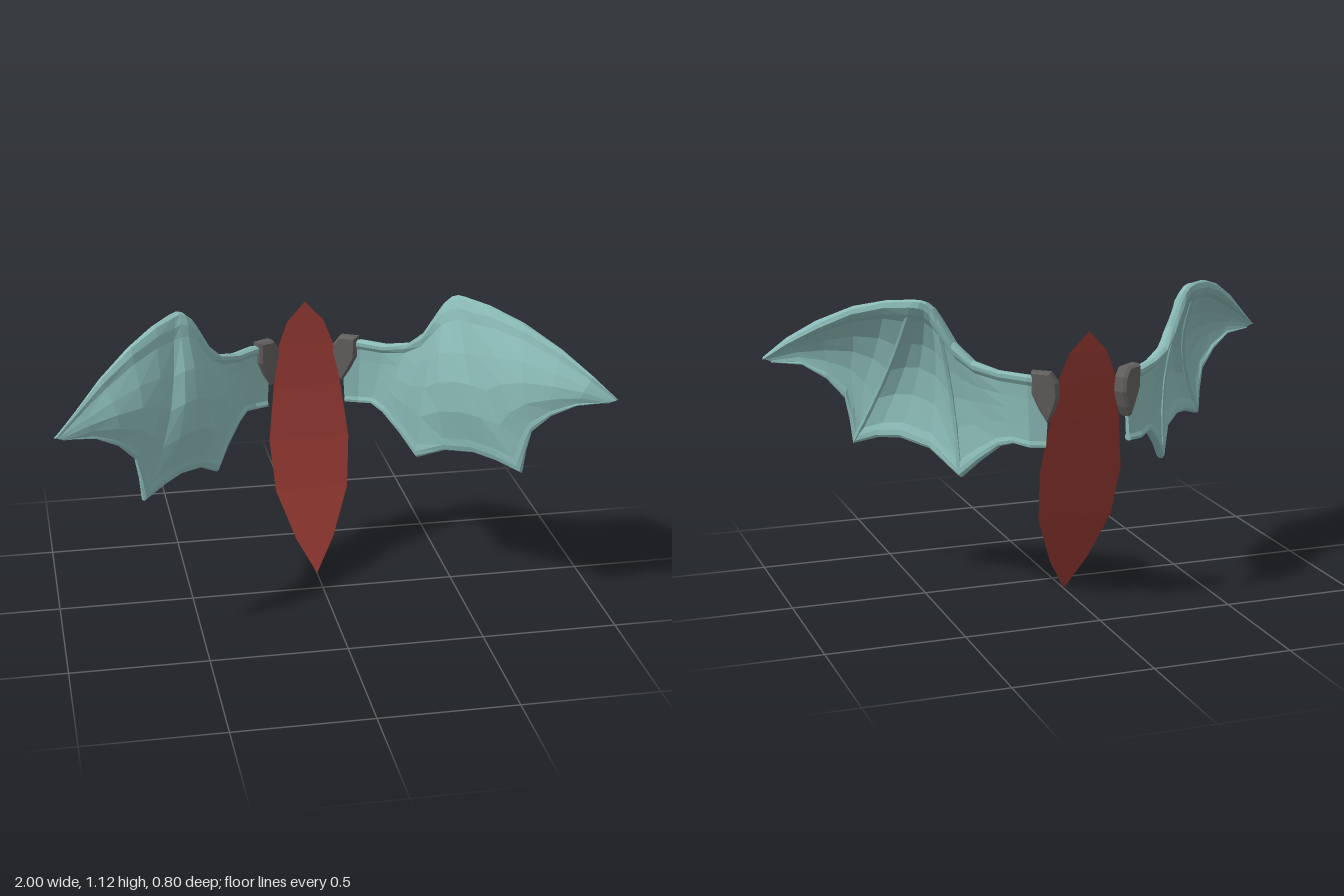
import * as THREE from 'three';

// Wing stations from root to tip: [leading edge xyz, trailing edge xyz, forward bulge]
const STATIONS = [
  [[0.14, 0.865, -0.365], [0.155, 0.615, -0.365], 0],
  [[0.21, 0.875, -0.33], [0.205, 0.615, -0.345], 0],
  [[0.29, 0.88, -0.25], [0.25, 0.625, -0.30], 0],
  [[0.365, 0.905, -0.18], [0.285, 0.605, -0.25], 0.01],
  [[0.42, 0.965, -0.13], [0.34, 0.54, -0.185], 0.03],
  [[0.465, 1.055, -0.105], [0.39, 0.465, -0.115], 0.04],
  [[0.485, 1.085, -0.10], [0.465, 0.545, 0.02], 0.075],
  [[0.505, 1.105, -0.093], [0.55, 0.57, 0.12], 0.085],
  [[0.525, 1.112, -0.085], [0.62, 0.56, 0.19], 0.085],
  [[0.545, 1.112, -0.065], [0.695, 0.53, 0.25], 0.07],
  [[0.62, 1.10, 0.02], [0.705, 0.62, 0.26], 0.07],
  [[0.72, 1.062, 0.13], [0.72, 0.70, 0.27], 0.06],
  [[0.83, 0.992, 0.24], [0.78, 0.77, 0.30], 0.045],
  [[0.92, 0.918, 0.335], [0.86, 0.82, 0.34], 0.02],
  [[0.998, 0.846, 0.39], [0.965, 0.834, 0.383], 0],
];
const LAST = STATIONS.length - 1;
const FINGERS = [5, 9];

// Half thickness down the chord: thick rolled rim, thin membrane
const CHORD = [[0, 0.006], [0.025, 0.02], [0.08, 0.02], [0.14, 0.01], [0.32, 0.008],
  [0.5, 0.008], [0.7, 0.008], [0.9, 0.009], [0.95, 0.015], [0.985, 0.014], [1, 0.006]];

// Point on the middle surface of the wing at station i, chord position v
function surface(i, v) {
  const [t, b, bulge] = STATIONS[i];
  const k = bulge * Math.sin(Math.PI * v);
  return new THREE.Vector3(...t).lerp(new THREE.Vector3(...b), v)
    .add(new THREE.Vector3(-0.55 * k, 0, 0.83 * k));
}

// Normal of the middle surface, pointing to the front
function normal(i, v) {
  const du = surface(Math.min(i + 1, LAST), v).sub(surface(Math.max(i - 1, 0), v));
  const dv = surface(i, Math.min(v + 0.05, 1)).sub(surface(i, Math.max(v - 0.05, 0)));
  return dv.cross(du).normalize();
}

// Closed skin lofted through a loop of points at every station
function wingGeometry() {
  const pos = [], index = [];
  const n = CHORD.length * 2;
  for (let i = 0; i <= LAST; i++) {
    const taper = i === LAST ? 0.5 : i === LAST - 1 ? 0.8 : 1;
    const at = ([v, h], side) =>
      pos.push(...surface(i, v).addScaledVector(normal(i, v), h * side * taper).toArray());
    CHORD.forEach((c) => at(c, 1));
    [...CHORD].reverse().forEach((c) => at(c, -1));
  }
  for (let i = 0; i < LAST; i++) {
    for (let j = 0; j < n; j++) {
      const k = (j + 1) % n;
      const a = i * n + j, d = i * n + k, b = a + n, c = d + n;
      index.push(a, d, c, a, c, b);
    }
  }
  // Root and tip caps
  const end = LAST * n;
  for (let j = 0; j < n / 2 - 1; j++) {
    const p = n - 1 - j;
    index.push(j, p, j + 1, j + 1, p, p - 1);
    index.push(end + j, end + j + 1, end + p, end + j + 1, end + p - 1, end + p);
  }
  const geo = new THREE.BufferGeometry();
  geo.setAttribute('position', new THREE.Float32BufferAttribute(pos, 3));
  geo.setIndex(index);
  return geo;
}

// Raised finger bone along the back of the membrane
function fingerGeometry(i) {
  const pts = [0.04, 0.2, 0.4, 0.6, 0.8, 0.97].map((v) =>
    surface(i, v).addScaledVector(normal(i, v), -0.007));
  return new THREE.TubeGeometry(new THREE.CatmullRomCurve3(pts), 8, 0.011, 6);
}

// Rounded plate that clasps the wing root
function claspGeometry() {
  const outline = [[0.004, 0.80], [0.008, 0.85], [0.03, 0.88], [0.088, 0.882], [0.086, 0.81],
    [0.062, 0.76], [0.036, 0.715], [0.022, 0.745]];
  const shape = new THREE.Shape(outline.map(([x, y]) => new THREE.Vector2(x, y)));
  const geo = new THREE.ExtrudeGeometry(shape, {
    depth: 0.03, bevelEnabled: true, bevelThickness: 0.012, bevelSize: 0.007, bevelSegments: 1,
  });
  geo.translate(0, 0, -0.015);
  geo.rotateY(-0.57);
  geo.translate(0.115, 0, -0.382);
  return geo;
}

// Mirror across x = 0, restoring the corner order
function mirrored(source) {
  const geo = source.index ? source.toNonIndexed() : source.clone();
  const p = geo.attributes.position;
  const a = new THREE.Vector3(), b = new THREE.Vector3();
  for (let i = 0; i < p.count; i += 3) {
    a.fromBufferAttribute(p, i + 1);
    b.fromBufferAttribute(p, i + 2);
    p.setXYZ(i + 1, b.x, b.y, b.z);
    p.setXYZ(i + 2, a.x, a.y, a.z);
  }
  for (let i = 0; i < p.count; i++) p.setX(i, -p.getX(i));
  return geo;
}

// Curved leaf-shaped sheet: [half width, y, z] from top to bottom
function leafGeometry() {
  const rows = [[0, 1.025, -0.38], [0.07, 0.95, -0.372], [0.105, 0.86, -0.362],
    [0.13, 0.70, -0.338], [0.155, 0.50, -0.297], [0.14, 0.31, -0.242],
    [0.073, 0.13, -0.175], [0, 0, -0.125]];
  const geo = new THREE.PlaneGeometry(2, 1, 2, rows.length - 1);
  const p = geo.attributes.position;
  for (let i = 0; i < p.count; i++) {
    const [w, y, z] = rows[Math.floor(i / 3)];
    p.setXYZ(i, p.getX(i) * w, y, z);
  }
  return geo;
}

export function createModel() {
  const make = (name, color, side = THREE.FrontSide) => {
    const m = new THREE.MeshStandardMaterial({ color, side, flatShading: true });
    m.name = name;
    return m;
  };
  const teal = make('teal', 0x8abab6);
  const grey = make('darkGrey', 0x625e5e);
  const red = make('red', 0x953932, THREE.DoubleSide);

  const model = new THREE.Group();
  model.name = 'wingsAndLeaf';
  const parts = [
    ['membrane', wingGeometry(), teal],
    ...FINGERS.map((i, k) => ['finger' + (k + 1), fingerGeometry(i), teal]),
    ['rootClasp', claspGeometry(), grey],
  ];
  for (const side of ['left', 'right']) {
    const wing = new THREE.Group();
    wing.name = side + 'Wing';
    for (const [name, geo, mat] of parts) {
      const flat = side === 'left' ? (geo.index ? geo.toNonIndexed() : geo) : mirrored(geo);
      flat.computeVertexNormals();
      const mesh = new THREE.Mesh(flat, mat);
      mesh.name = name;
      wing.add(mesh);
    }
    model.add(wing);
  }

  const leafGeo = leafGeometry().toNonIndexed();
  leafGeo.computeVertexNormals();
  const leaf = new THREE.Mesh(leafGeo, red);
  leaf.name = 'leafSheet';
  model.add(leaf);
  return model;
}
